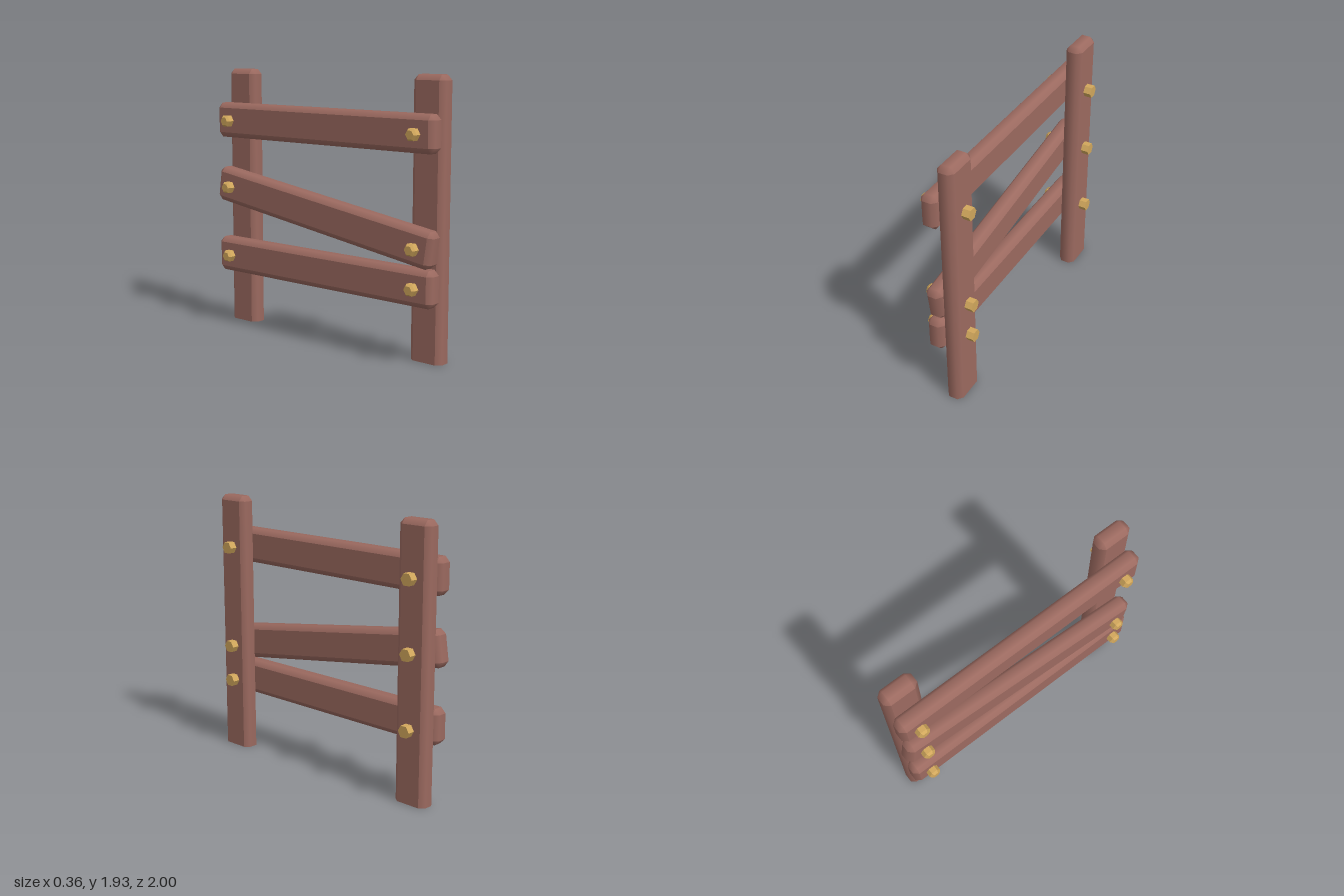
import * as THREE from 'three';
import { toCreasedNormals } from 'three/addons/utils/BufferGeometryUtils.js';
import { ConvexGeometry } from 'three/addons/geometries/ConvexGeometry.js';

const wood = new THREE.MeshStandardMaterial({ name: 'brown wood', color: 0x9c6a60 });
const brass = new THREE.MeshStandardMaterial({ name: 'brass', color: 0xd1a75c });

const HALF_T = 0.0625; // half the plank thickness, along x
const HALF_W = 0.128;  // half the plank width
const BEVEL = [0.03, 0.037, 0.037];

// Plank with flat broad faces on +-x and softly rounded bevelled edges.
// With sawnBottom the lower end is cut square.
function plankGeometry(hy, hz, sawnBottom = false) {
  const h = [HALF_T, hy, hz];
  const points = [];
  for (const sx of [-1, 1]) for (const sy of [-1, 1]) for (const sz of [-1, 1]) {
    const signs = [sx, sy, sz];
    const sawn = sawnBottom && sy < 0;
    for (let axis = 0; axis < 3; axis++) {
      if (sawn && axis === 1) continue;
      const p = h.map((v, i) => signs[i] * (i === axis || (sawn && i === 1) ? v : v - BEVEL[i]));
      points.push(new THREE.Vector3(...p));
    }
  }
  const geo = new ConvexGeometry(points);
  const pos = geo.attributes.position, nor = geo.attributes.normal;
  // Edge bands get rounded normals, broad faces and sawn ends stay flat
  for (let i = 0; i < pos.count; i++) {
    const n = [nor.getX(i), nor.getY(i), nor.getZ(i)];
    if (Math.abs(n[0]) > 0.95 || (sawnBottom && n[1] < -0.95)) continue;
    const p = [pos.getX(i), pos.getY(i), pos.getZ(i)];
    const v = p.map((c, k) => {
      if (k > 0 && Math.abs(n[k]) < 0.05) return 0;
      const core = Math.max(h[k] - 2 * BEVEL[k], 0);
      return c - THREE.MathUtils.clamp(c, -core, core);
    });
    const r = new THREE.Vector3(...v).normalize();
    nor.setXYZ(i, r.x, r.y, r.z);
  }
  return geo;
}

// Six-sided prism along x from x0 to x1
function hexGeometry(r0, r1, x0, x1) {
  const geo = new THREE.CylinderGeometry(r1, r0, x1 - x0, 6);
  geo.rotateZ(-Math.PI / 2);
  geo.translate((x0 + x1) / 2, 0, 0);
  return toCreasedNormals(geo, 0.4);
}

export function createModel() {
  const model = new THREE.Group();
  model.name = 'fence';
  const add = (parent, name, geo, mat, x = 0, y = 0, z = 0) => {
    const mesh = new THREE.Mesh(geo, mat);
    mesh.name = name;
    mesh.position.set(x, y, z);
    parent.add(mesh);
    return mesh;
  };

  // Two upright posts
  const postGeo = plankGeometry(0.965, HALF_W, true);
  add(model, 'frontPost', postGeo, wood, HALF_T, 0.965, 0.86);
  add(model, 'backPost', postGeo, wood, HALF_T, 0.965, -0.854);

  // Level rails and the slanted one between them
  const railGeo = plankGeometry(HALF_W, 0.99);
  add(model, 'topRail', railGeo, wood, -HALF_T, 1.553, 0.005);
  add(model, 'bottomRail', railGeo, wood, -HALF_T, 0.533, 0.005);
  const slant = add(model, 'slantedRail', plankGeometry(HALF_W, 0.995), wood, -HALF_T, 0.932, 0);
  slant.rotation.x = THREE.MathUtils.degToRad(8.4);

  // Bolts through each crossing: plain head on one side, tapered nut on the other
  const headGeo = hexGeometry(0.046, 0.046, 0.12, 0.18);
  const nutGeo = hexGeometry(0.046, 0.046, -0.165, -0.12);
  const tipGeo = hexGeometry(0.032, 0.046, -0.183, -0.165);
  const crossings = [
    [1.55, 0.853], [0.797, 0.853], [0.53, 0.853],
    [1.55, -0.85], [1.052, -0.85], [0.53, -0.85],
  ];
  for (const [y, z] of crossings) {
    const bolt = new THREE.Group();
    bolt.name = 'bolt';
    bolt.position.set(0, y, z);
    add(bolt, 'boltHead', headGeo, brass);
    add(bolt, 'boltNut', nutGeo, brass);
    add(bolt, 'boltTip', tipGeo, brass);
    model.add(bolt);
  }
  return model;
}
